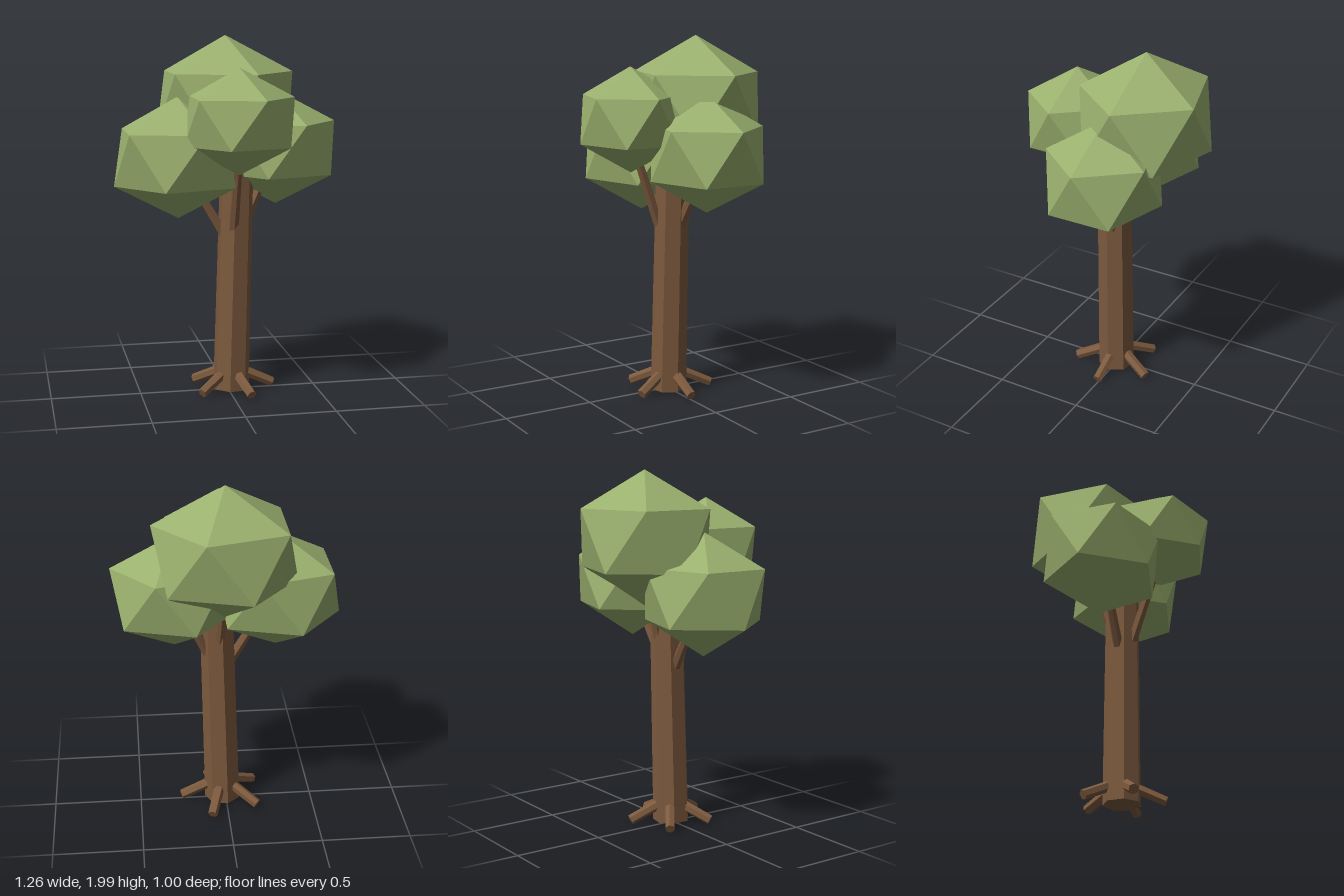
import * as THREE from 'three';

export function createModel() {
  const tree = new THREE.Group();
  const bark = new THREE.MeshStandardMaterial({ color: 0x7d5a3e, flatShading: true });
  bark.name = 'bark brown';
  const leaf = new THREE.MeshStandardMaterial({ color: 0x9ab06e, flatShading: true });
  leaf.name = 'leaf green';

  // Tapered round limb running between two points
  function limb(name, from, to, r0, r1, sides, thetaStart = 0) {
    const a = new THREE.Vector3(...from);
    const b = new THREE.Vector3(...to);
    const dir = b.clone().sub(a);
    const geo = new THREE.CylinderGeometry(r1, r0, dir.length(), sides, 1, false, thetaStart);
    const mesh = new THREE.Mesh(geo, bark);
    mesh.name = name;
    mesh.position.copy(a).add(b).multiplyScalar(0.5);
    mesh.quaternion.setFromUnitVectors(new THREE.Vector3(0, 1, 0), dir.normalize());
    tree.add(mesh);
  }

  // Seven-sided trunk, leaning slightly to the left, one edge toward +x
  limb('trunk', [0.017, 0.017, 0.005], [0.052, 1.36, -0.003], 0.104, 0.094, 7, Math.PI / 2);

  // Five roots spread around the base
  for (let i = 0; i < 5; i++) {
    const t = (i * Math.PI * 2) / 5;
    const c = Math.cos(t), s = Math.sin(t);
    limb('root' + (i + 1), [0.02 + 0.05 * c, 0.12, 0.05 * s],
      [0.02 + 0.237 * c, 0.033, 0.237 * s], 0.03, 0.028, 6);
  }

  // Branches reaching up into the crown
  limb('rightBranch', [-0.01, 0.885, 0], [-0.147, 1.115, 0], 0.03, 0.024, 6);
  limb('leftBranch', [0.1, 0.97, -0.02], [0.22, 1.22, -0.06], 0.03, 0.024, 6);
  limb('frontBranch', [0.02, 0.94, 0.06], [0.02, 1.34, 0.2], 0.03, 0.024, 6);
  limb('backBranch', [0.04, 1.05, -0.06], [0.02, 1.4, -0.16], 0.03, 0.024, 6);

  // Leaf clumps: flattened icosahedra standing on a vertex
  const clumps = [
    ['topLeaves', 0.017, 1.631, -0.172, 0.434],
    ['frontLeaves', 0.017, 1.555, 0.242, 0.336],
    ['rightLeaves', -0.28, 1.34, 0.004, 0.394],
    ['leftLeaves', 0.288, 1.38, -0.073, 0.377],
  ];
  const golden = (1 + Math.sqrt(5)) / 2;
  for (const [name, x, y, z, r] of clumps) {
    const geo = new THREE.IcosahedronGeometry(r, 0);
    geo.rotateZ(-Math.atan(1 / golden));
    geo.scale(1, 0.85, 0.9);
    const mesh = new THREE.Mesh(geo, leaf);
    mesh.name = name;
    mesh.position.set(x, y, z);
    tree.add(mesh);
  }
  return tree;
}
